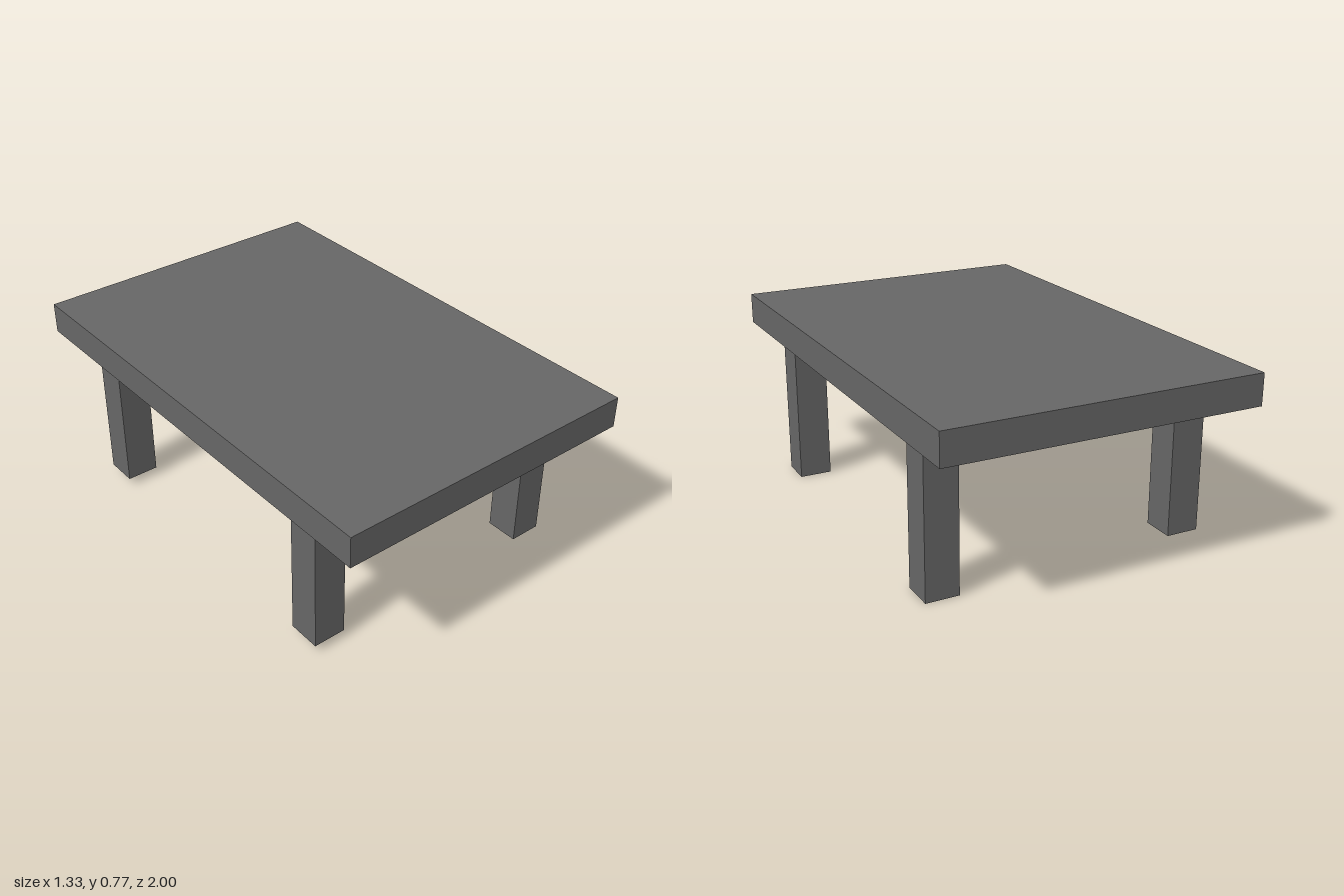
import * as THREE from 'three';

export function createModel() {
  const table = new THREE.Group();
  table.name = 'table';
  const grey = new THREE.MeshStandardMaterial({ color: 0x666666 });
  grey.name = 'dark grey';

  // Box spanning bottom to top, centred on x and z
  function block(name, width, depth, bottom, top, x, z) {
    const mesh = new THREE.Mesh(new THREE.BoxGeometry(width, top - bottom, depth), grey);
    mesh.name = name;
    mesh.position.set(x, (bottom + top) / 2, z);
    table.add(mesh);
  }

  const underside = 0.638;
  block('tabletop', 1.33, 2, underside, 0.77, 0, 0);

  // Four square legs; the pair on the -x side is slightly shorter
  for (const [side, x, foot] of [['Left', 0.535, 0], ['Right', -0.535, 0.036]]) {
    for (const [end, z] of [['front', 0.667], ['back', -0.667]]) {
      block(`${end}${side}Leg`, 0.14, 0.14, foot, underside, x, z);
    }
  }
  return table;
}
